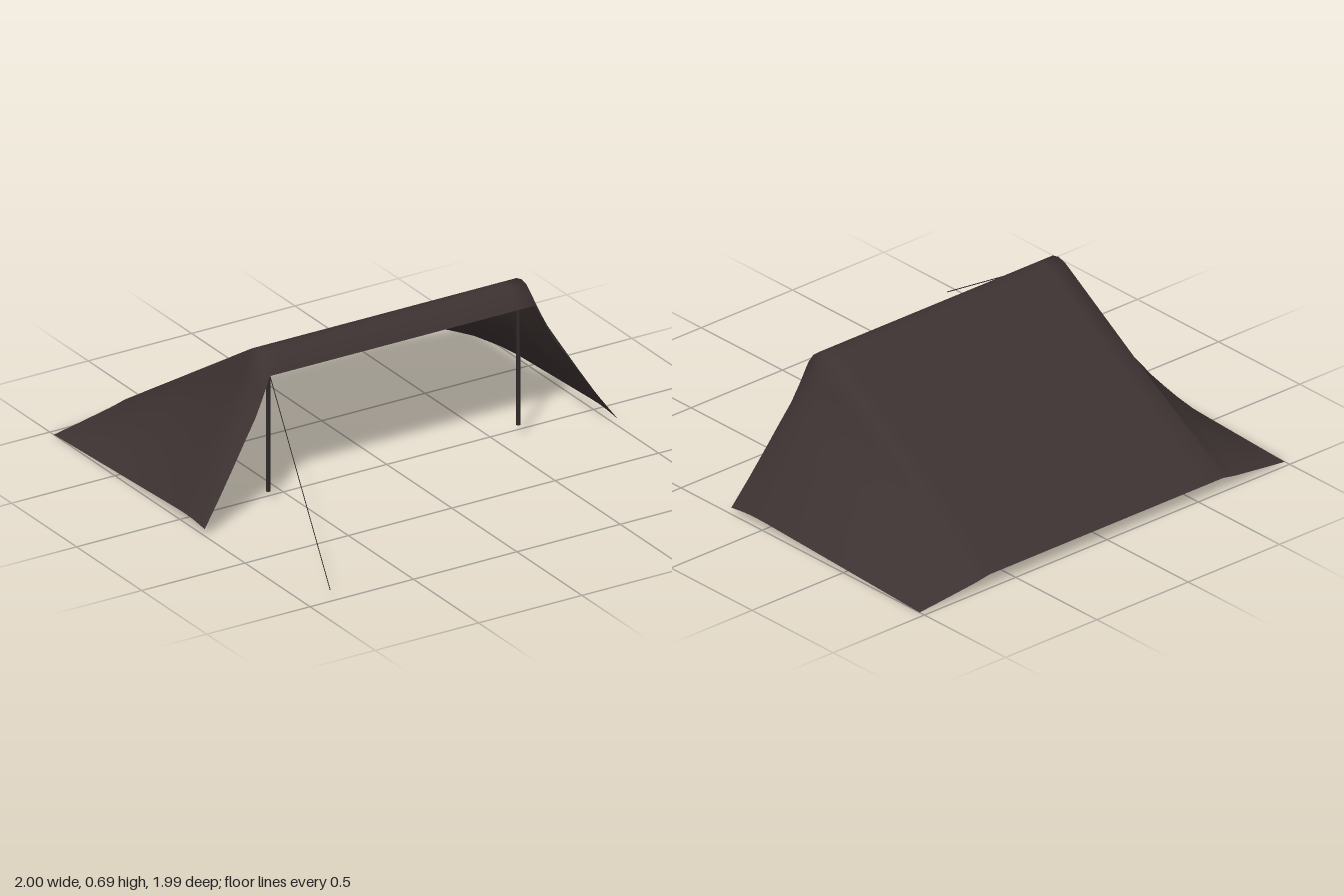
import * as THREE from 'three';

const canvasMat = new THREE.MeshStandardMaterial({ color: 0x3c3231, side: THREE.DoubleSide });
canvasMat.name = 'brown canvas';
const poleMat = new THREE.MeshStandardMaterial({ color: 0x302a2a });
poleMat.name = 'dark pole';
const ropeMat = new THREE.MeshStandardMaterial({ color: 0x2a2828 });
ropeMat.name = 'dark rope';

// Cross-sections as [z, y], front lip to back hem
const middle = [[0.12, 0.61], [0.09, 0.655], [0.055, 0.682], [0.02, 0.69], [-0.02, 0.68]];
const end = [[0.19, 0.035], [0.15, 0.04], [0.1, 0.045], [0.05, 0.047], [-0.02, 0.046]];
const ROWS = 10;
for (let i = 1; i <= ROWS; i++) {
  const t = i / ROWS;
  middle.push([-0.02 - 0.975 * t, 0.68 - 0.615 * t]);
  end.push([-0.02 - 0.95 * t, 0.046 - 0.041 * t]);
}

// Half-span stations [x, share of the middle section]
const half = [[0, 1], [0.3, 1], [0.56, 1], [0.64, 1], [0.68, 0.85], [0.72, 0.715],
  [0.78, 0.56], [0.85, 0.375], [0.92, 0.195], [1, 0]];
const stations = [...half.slice(1).reverse().map(([x, w]) => [-x, w]), ...half];

// Loft the canvas through all stations
function tarpGeometry() {
  const pos = [], idx = [], n = middle.length;
  for (const [x, w] of stations) {
    for (let j = 0; j < n; j++) {
      // z moves evenly with x so the front edge stays straight
      const s = THREE.MathUtils.clamp((1 - Math.abs(x)) / 0.36, 0, 1);
      const y = THREE.MathUtils.lerp(end[j][1], middle[j][1], w);
      const z = THREE.MathUtils.lerp(end[j][0], middle[j][0], s);
      pos.push(x, y, z);
    }
  }
  for (let i = 0; i < stations.length - 1; i++) {
    for (let j = 0; j < n - 1; j++) {
      const a = i * n + j, b = a + n;
      idx.push(a, b, b + 1, a, b + 1, a + 1);
    }
  }
  const g = new THREE.BufferGeometry();
  g.setAttribute('position', new THREE.Float32BufferAttribute(pos, 3));
  g.setIndex(idx);
  g.computeVertexNormals();
  return g;
}

// Round rod between two points
function rod(name, from, to, radius, sides, material) {
  const a = new THREE.Vector3(...from), b = new THREE.Vector3(...to);
  const mesh = new THREE.Mesh(new THREE.CylinderGeometry(radius, radius, a.distanceTo(b), sides), material);
  mesh.position.copy(a).lerp(b, 0.5);
  mesh.quaternion.setFromUnitVectors(new THREE.Vector3(0, 1, 0), b.clone().sub(a).normalize());
  mesh.name = name;
  return mesh;
}

export function createModel() {
  const model = new THREE.Group();
  model.name = 'tarpShelter';

  const tarp = new THREE.Mesh(tarpGeometry(), canvasMat);
  tarp.name = 'tarp';
  model.add(tarp);

  // Front support poles
  for (const side of [-1, 1]) {
    model.add(rod(side > 0 ? 'leftPole' : 'rightPole',
      [side * 0.605, 0.055, 0.05], [side * 0.605, 0.67, 0.05], 0.0095, 12, poleMat));
  }

  // Single guy line from the right front corner
  model.add(rod('guyLine', [-0.64, 0.61, 0.12], [-0.9, 0.055, 0.995], 0.002, 6, ropeMat));
  return model;
}
